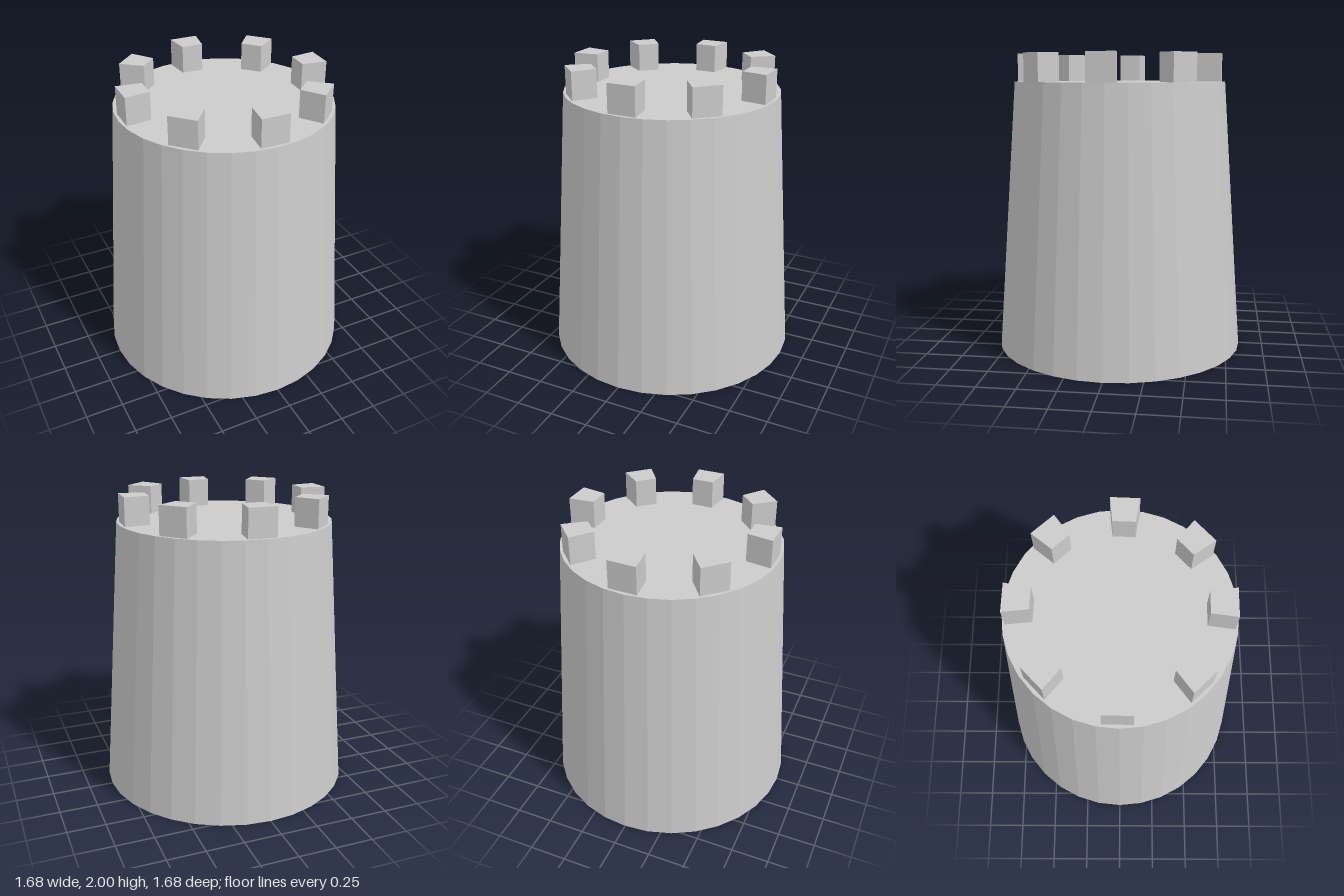
import * as THREE from 'three';

const BODY_HEIGHT = 1.815;

export function createModel() {
  const model = new THREE.Group();
  const material = new THREE.MeshStandardMaterial({ color: 0xcccccc, flatShading: true });

  // Tapered faceted tower
  const tower = new THREE.Mesh(new THREE.CylinderGeometry(0.71, 0.84, BODY_HEIGHT, 32), material);
  tower.name = 'towerBody';
  tower.position.y = BODY_HEIGHT / 2;
  model.add(tower);

  // Battlement block: a box narrowed towards the tower's axis
  const height = 2 - BODY_HEIGHT;
  const block = new THREE.BoxGeometry(0.165, height, 0.186);
  const p = block.attributes.position;
  for (let i = 0; i < p.count; i++) {
    if (p.getX(i) < 0) p.setZ(i, p.getZ(i) * 0.765);
  }
  block.computeVertexNormals();

  // Ring of eight blocks, each stepped slightly over an eighth turn
  const battlements = new THREE.Group();
  battlements.name = 'battlements';
  for (let i = 0; i < 8; i++) {
    const angle = THREE.MathUtils.degToRad(90.5 + 45.3 * i);
    const merlon = new THREE.Mesh(block, material);
    merlon.name = 'merlon' + (i + 1);
    merlon.position.set(0.603 * Math.cos(angle), BODY_HEIGHT + height / 2, 0.603 * Math.sin(angle));
    merlon.rotation.y = -angle;
    battlements.add(merlon);
  }
  model.add(battlements);

  return model;
}
